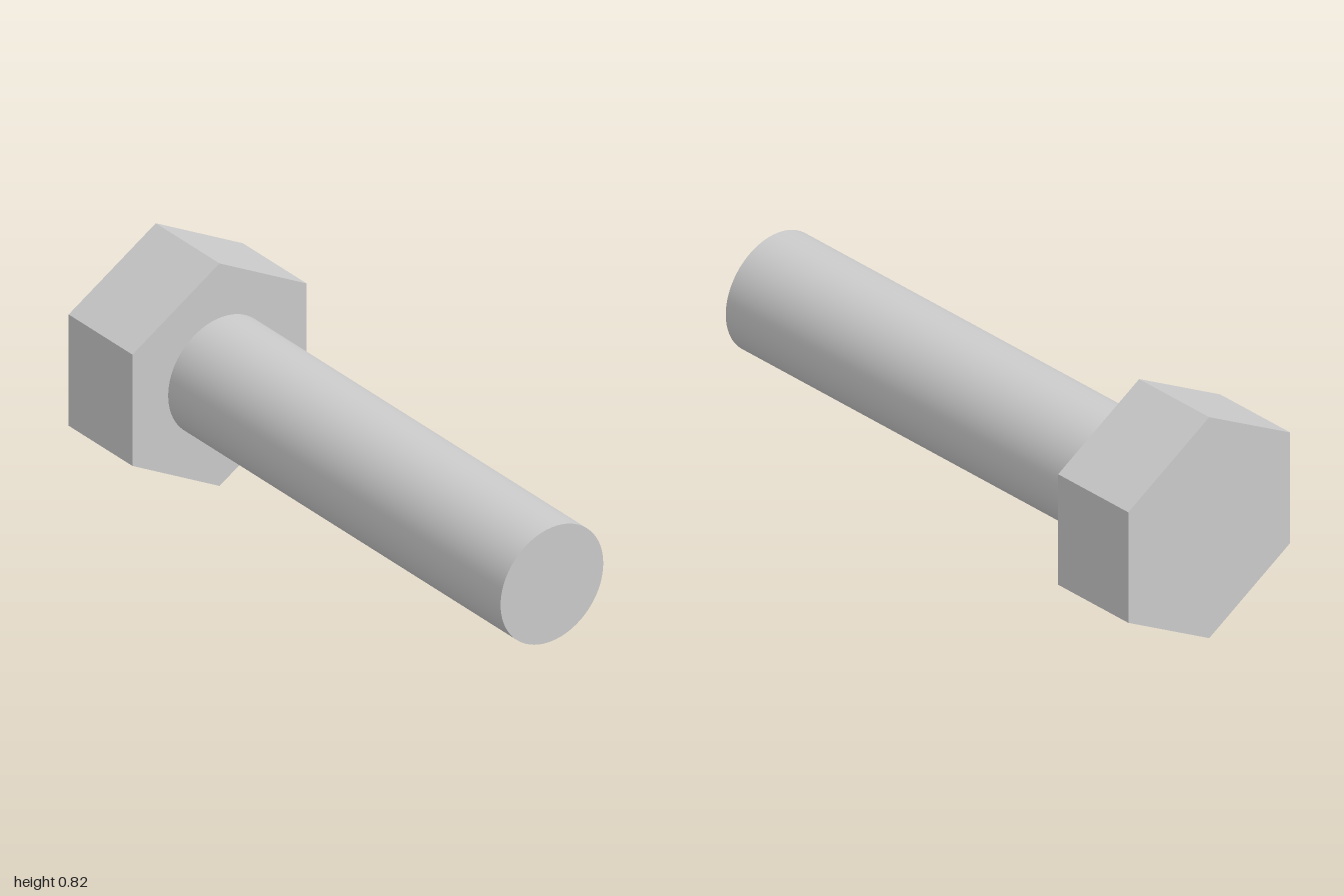
import * as THREE from 'three';

const HEAD_RADIUS = 0.409; // centre to hexagon corner
const SHANK_RADIUS = 0.209;
const HEAD_END = -0.678; // where the head meets the shank

// Cylinder or prism lying along x, from x0 to x1
function bar(name, radius, x0, x1, sides, flatShading) {
  // starting at 30 degrees puts hexagon corners at top and bottom
  const geometry = new THREE.CylinderGeometry(radius, radius, x1 - x0, sides, 1, false, Math.PI / 6);
  geometry.rotateZ(-Math.PI / 2);
  const mesh = new THREE.Mesh(geometry, new THREE.MeshStandardMaterial({ color: 0xcccccc, flatShading }));
  mesh.name = name;
  mesh.position.set((x0 + x1) / 2, HEAD_RADIUS, 0);
  return mesh;
}

export function createModel() {
  const bolt = new THREE.Group();
  bolt.name = 'hexBolt';
  bolt.add(
    bar('hexHead', HEAD_RADIUS, -1, HEAD_END, 6, true),
    bar('shank', SHANK_RADIUS, HEAD_END, 1, 72, false),
  );
  return bolt;
}
